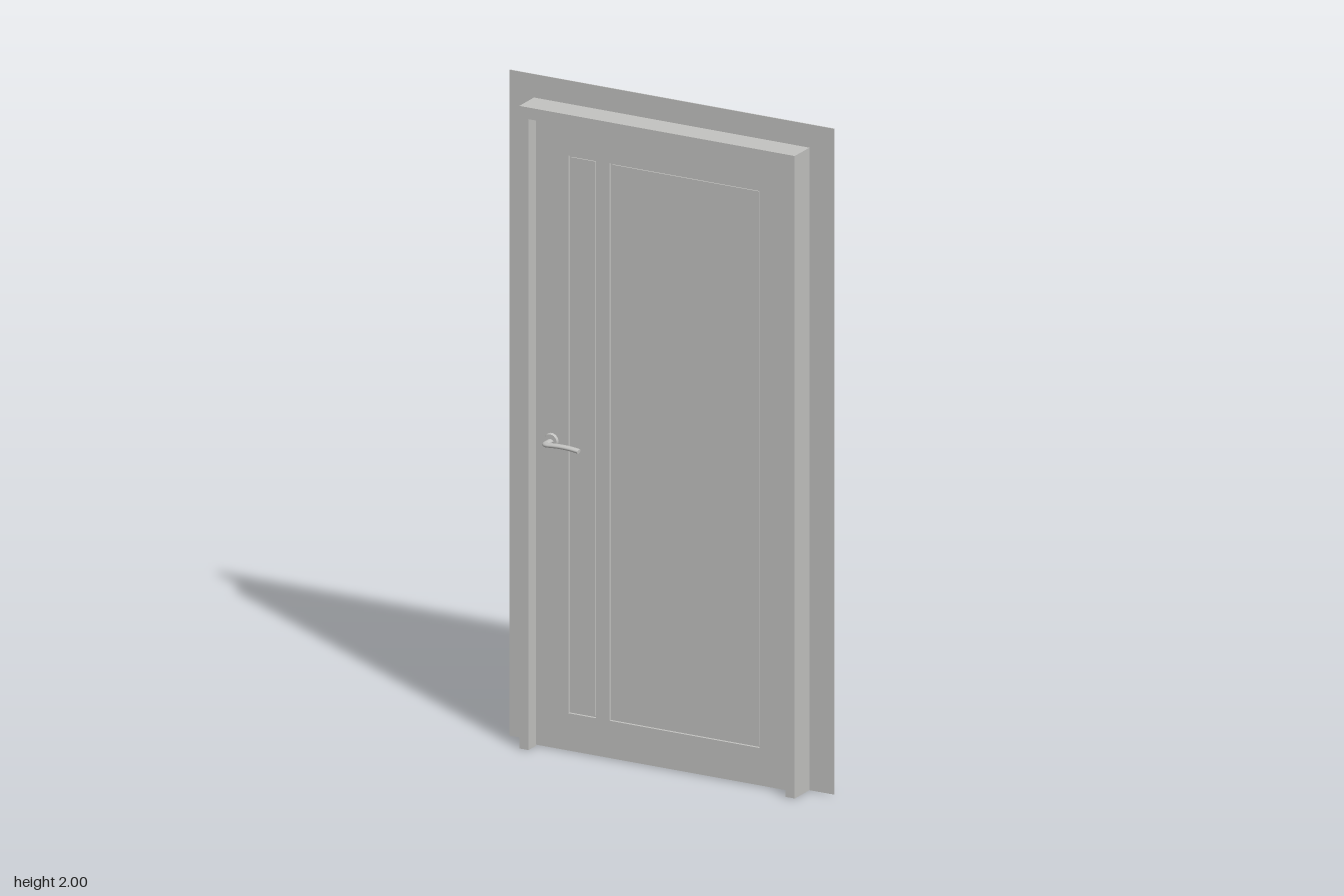
import * as THREE from 'three';

const grey = new THREE.MeshStandardMaterial({ color: 0xc2c2c0 });
grey.name = 'grey';

function add(parent, name, geometry, x = 0, y = 0, z = 0) {
  const mesh = new THREE.Mesh(geometry, grey);
  mesh.name = name;
  mesh.position.set(x, y, z);
  parent.add(mesh);
  return mesh;
}

function extrude(shape, z0, z1) {
  const g = new THREE.ExtrudeGeometry(shape, { depth: z1 - z0, bevelEnabled: false });
  return g.translate(0, 0, z0);
}

// Door-shaped arch, open at the floor
function archway(outerX, outerY, innerX, innerY) {
  return new THREE.Shape([
    [-outerX, 0], [-innerX, 0], [-innerX, innerY], [innerX, innerY],
    [innerX, 0], [outerX, 0], [outerX, outerY], [-outerX, outerY],
  ].map(([x, y]) => new THREE.Vector2(x, y)));
}

function rectangle(Type, x0, x1, y0, y1) {
  return new Type([[x0, y0], [x1, y0], [x1, y1], [x0, y1]].map(([x, y]) => new THREE.Vector2(x, y)));
}

// Lever handle built to face +z, with z = 0 on the door surface
function leverHandle(name) {
  const handle = new THREE.Group();
  handle.name = name;
  const rose = new THREE.CylinderGeometry(0.02, 0.023, 0.007, 32).rotateX(Math.PI / 2);
  add(handle, 'rose', rose, 0, 0, 0.0035);
  const path = new THREE.CurvePath();
  const v = (x, y, z) => new THREE.Vector3(x, y, z);
  path.add(new THREE.LineCurve3(v(0, 0, 0), v(0, 0, 0.03)));
  path.add(new THREE.QuadraticBezierCurve3(v(0, 0, 0.03), v(0, 0, 0.046), v(0.018, 0.003, 0.046)));
  path.add(new THREE.QuadraticBezierCurve3(v(0.018, 0.003, 0.046), v(0.07, 0.011, 0.046), v(0.115, 0, 0.046)));
  const lever = add(handle, 'lever', new THREE.TubeGeometry(path, 40, 0.01, 16));
  lever.scale.y = 0.65;
  const tip = add(handle, 'leverTip', new THREE.CircleGeometry(0.01, 16).rotateY(Math.PI / 2), 0.115, 0, 0.046);
  tip.scale.y = 0.65;
  return handle;
}

export function createModel() {
  const model = new THREE.Group();
  model.name = 'door';

  // Frame: door stop at the front, rebate around the leaf
  add(model, 'frameStop', extrude(archway(0.45, 1.93, 0.42, 1.895), 0.021, 0.065));
  add(model, 'frameRebate', extrude(archway(0.45, 1.93, 0.438, 1.913), -0.02, 0.021));

  // Casing on the back wall, with a stepped outer edge
  add(model, 'casingBase', extrude(archway(0.53, 2, 0.438, 1.913), -0.023, -0.02));
  add(model, 'casingFace', extrude(archway(0.522, 1.992, 0.438, 1.913), -0.026, -0.023));

  // Leaf with two recessed panels
  const openings = [[-0.315, -0.225], [-0.18, 0.31]];
  const leaf = rectangle(THREE.Shape, -0.432, 0.432, 0.003, 1.907);
  for (const [x0, x1] of openings) {
    leaf.holes.push(rectangle(THREE.Path, x0, x1, 0.115, 1.79));
    const w = x1 - x0;
    // Recess floor, then a raised field leaving a fine groove
    add(model, 'panelGroove', new THREE.BoxGeometry(w, 1.675, 0.026), (x0 + x1) / 2, 0.9525, -0.001);
    add(model, 'panelField', new THREE.BoxGeometry(w - 0.01, 1.665, 0.034), (x0 + x1) / 2, 0.9525, -0.001);
  }
  add(model, 'doorLeaf', extrude(leaf, -0.022, 0.02));

  // Handles on both sides
  const front = leverHandle('frontHandle');
  front.position.set(-0.37, 0.925, 0.02);
  const back = leverHandle('backHandle');
  back.position.set(-0.37, 0.925, -0.022);
  back.scale.z = -1;
  model.add(front, back);

  // Hinge knuckles
  for (const y of [0.24, 1.645]) {
    for (let i = -2; i <= 2; i++) {
      add(model, 'hingeKnuckle', new THREE.CylinderGeometry(0.005, 0.005, 0.0165, 16), 0.429, y + i * 0.0185, -0.0235);
    }
    add(model, 'hingePin', new THREE.CylinderGeometry(0.0038, 0.0038, 0.092, 12), 0.429, y, -0.0235);
  }
  return model;
}
